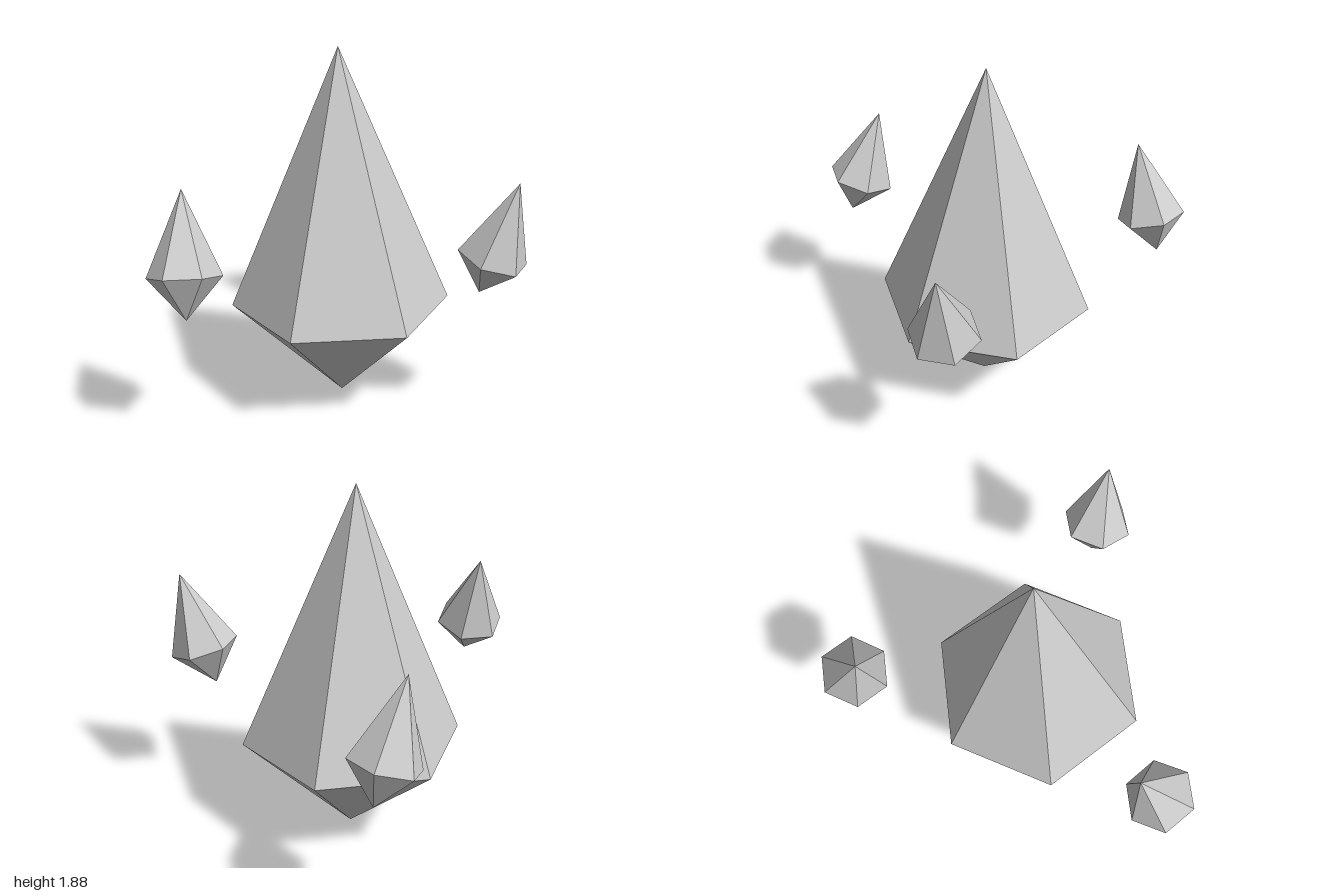
import * as THREE from 'three';

const crystalGrey = new THREE.MeshStandardMaterial({ color: 0xcccccc, flatShading: true });
crystalGrey.name = 'crystalGrey';

// Six-sided double-pointed crystal with its girdle at the local origin
function crystal(name, radius, up, down) {
  const profile = [[0, -down], [radius, 0], [0, up]].map(([r, y]) => new THREE.Vector2(r, y));
  const mesh = new THREE.Mesh(new THREE.LatheGeometry(profile, 6), crystalGrey);
  mesh.name = name;
  return mesh;
}

export function createModel() {
  const group = new THREE.Group();
  group.name = 'crystalCluster';

  // Large central crystal
  const main = crystal('mainCrystal', 0.572, 1.352, 0.525);
  main.position.set(-0.203, 0.525, 0);
  group.add(main);

  // Three small tilted crystals floating around it
  for (let i = 0; i < 3; i++) {
    const angle = (i * Math.PI * 2) / 3;
    const shard = crystal('floatingCrystal' + (i + 1), 0.18, 0.413, 0.206);
    shard.position.set(-0.203 + 0.826 * Math.cos(angle), 0.902, 0.952 * Math.sin(angle));
    shard.rotation.set(0, angle, -0.305);
    group.add(shard);
  }
  return group;
}
